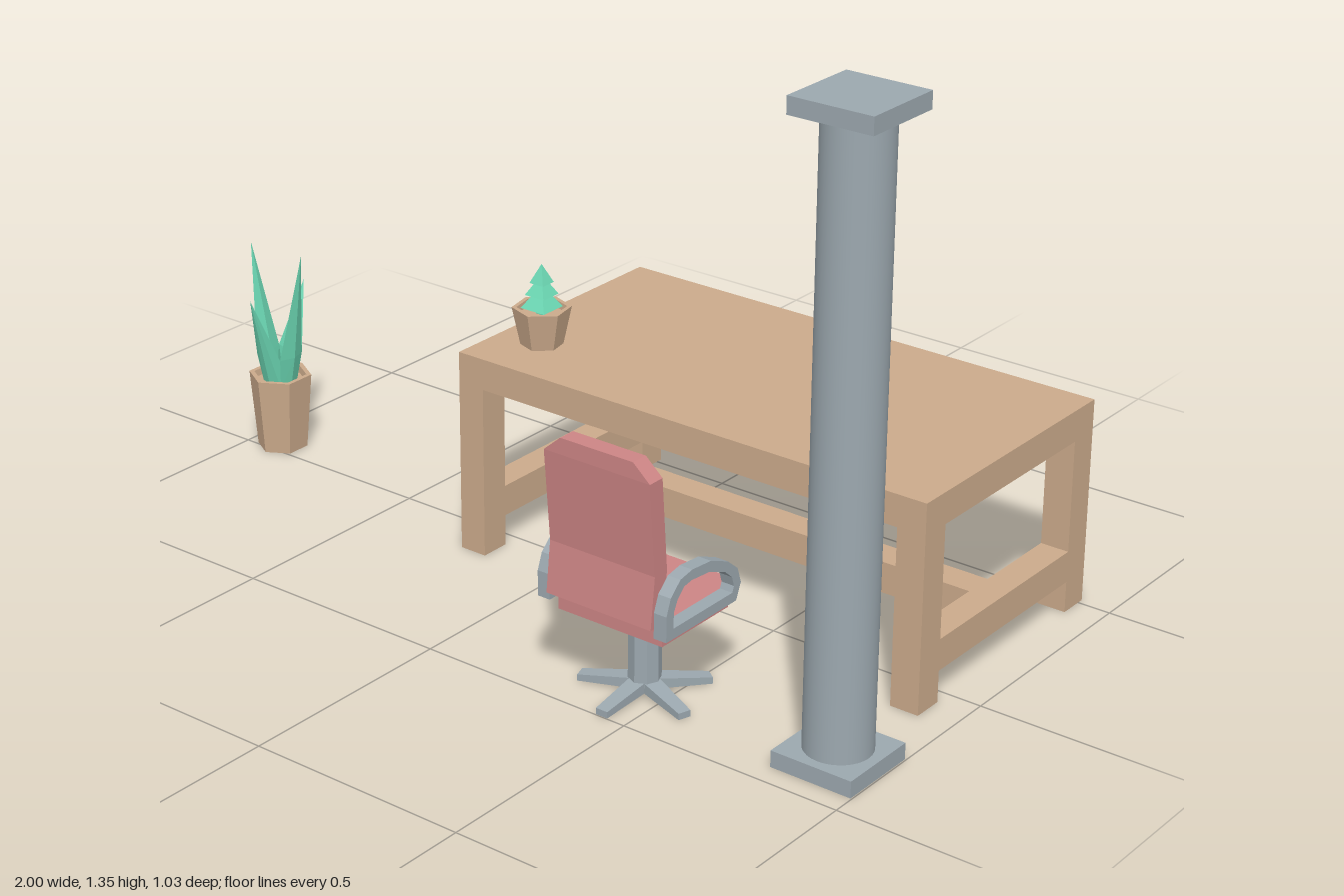
import * as THREE from 'three';
import { ConvexGeometry } from 'three/addons/geometries/ConvexGeometry.js';

const material = (name, color) => Object.assign(new THREE.MeshStandardMaterial({ color }), { name });

// Faceted normals for low-poly parts
function facet(geometry) {
  const g = geometry.index ? geometry.toNonIndexed() : geometry;
  g.computeVertexNormals();
  return g;
}

function add(parent, name, geometry, mat, x = 0, y = 0, z = 0) {
  const mesh = new THREE.Mesh(geometry, mat);
  mesh.name = name;
  mesh.position.set(x, y, z);
  parent.add(mesh);
  return mesh;
}

// Box given by its minimum and maximum on each axis
function slab(parent, name, mat, [x0, x1], [y0, y1], [z0, z1]) {
  return add(parent, name, new THREE.BoxGeometry(x1 - x0, y1 - y0, z1 - z0), mat,
    (x0 + x1) / 2, (y0 + y1) / 2, (z0 + z1) / 2);
}

function group(parent, name, x = 0, y = 0, z = 0) {
  const g = new THREE.Group();
  g.name = name;
  g.position.set(x, y, z);
  parent.add(g);
  return g;
}

const points = (list) => list.map(([x, y]) => new THREE.Vector2(x, y));

// Six-sided open pot with a sunken soil level
function potGeometry(bottom, top, height) {
  const profile = points([[0, 0], [bottom, 0], [top, height], [top * 0.84, height],
    [top * 0.8, height - 0.015], [0, height - 0.015]]);
  return facet(new THREE.LatheGeometry(profile, 6));
}

// Pointed leaf of kite section, leaning outward along +z
function leafGeometry(reach, tipY) {
  const sections = [[0.155, 0.034, 0.026, 0.026, 0.012], [0.23, 0.048, 0.036, 0.036, 0.026]];
  const pts = [new THREE.Vector3(0, tipY, reach)];
  for (const [y, outer, side, half, inner] of sections) {
    pts.push(new THREE.Vector3(0, y, outer), new THREE.Vector3(half, y, side),
      new THREE.Vector3(-half, y, side), new THREE.Vector3(0, y, inner));
  }
  return new ConvexGeometry(pts);
}

// Backrest: box rows shifted to follow the lumbar curve and clipped top corners
function backrestGeometry() {
  const rows = [[0.235, 0.475, 0.51, 0.128], [0.345, 0.46, 0.498, 0.128],
    [0.545, 0.477, 0.516, 0.128], [0.58, 0.477, 0.516, 0.088]];
  const g = new THREE.BoxGeometry(1, 3, 1, 1, 3, 1);
  const p = g.attributes.position;
  for (let i = 0; i < p.count; i++) {
    const [y, front, back, half] = rows[Math.round(p.getY(i) + 1.5)];
    p.setXYZ(i, Math.sign(p.getX(i)) * half, y, p.getZ(i) > 0 ? back : front);
  }
  return facet(g);
}

// Chair foot: tapered bar from the hub outward along +z
function footGeometry() {
  const g = new THREE.BoxGeometry(1, 1, 1);
  const p = g.attributes.position;
  for (let i = 0; i < p.count; i++) {
    const tip = p.getZ(i) > 0;
    const upper = p.getY(i) > 0;
    p.setXYZ(i, Math.sign(p.getX(i)) * (tip ? 0.014 : 0.02),
      upper ? (tip ? 0.014 : 0.034) : (tip ? 0 : 0.01), tip ? 0.138 : 0);
  }
  return facet(g);
}

export function createModel() {
  const model = new THREE.Group();
  model.name = 'officeSet';
  const wood = material('tan', 0xcbaa8b);
  const metal = material('grey', 0x9ca8af);
  const fabric = material('red', 0xcd8585);
  const leafGreen = material('green', 0x6cd8b4);

  // Table
  const table = group(model, 'table');
  slab(table, 'tableTop', wood, [-0.25, 0.925], [0.39, 0.46], [-0.515, 0.11]);
  for (const x of [-0.25, 0.86]) {
    const xs = [x, x + 0.065];
    for (const z of [-0.515, 0.04]) slab(table, 'tableLeg', wood, xs, [0, 0.39], [z, z + 0.07]);
    slab(table, 'sideStretcher', wood, xs, [0.07, 0.14], [-0.445, 0.04]);
  }
  slab(table, 'middleStretcher', wood, [-0.185, 0.86], [0.07, 0.14], [-0.237, -0.168]);

  // Column
  const column = group(model, 'column', 0.905, 0, 0.357);
  const plate = new THREE.BoxGeometry(0.184, 0.036, 0.184);
  add(column, 'columnBase', plate, metal, 0, 0.018, 0);
  add(column, 'columnCap', plate, metal, 0, 1.327, 0);
  add(column, 'columnShaft', new THREE.CylinderGeometry(0.07, 0.07, 1.275, 32), metal, 0, 0.672, 0);

  // Large plant
  const plant = group(model, 'largePlant', -0.922, 0, -0.035);
  add(plant, 'largePot', potGeometry(0.058, 0.073, 0.18), wood);
  for (let i = 0; i < 4; i++) {
    const leaf = add(plant, 'leaf', i % 2 ? leafGeometry(0.078, 0.485) : leafGeometry(0.088, 0.385), leafGreen);
    leaf.rotation.y = i * Math.PI / 2;
  }

  // Small tree on the table
  const tree = group(model, 'smallTree', -0.142, 0.46, -0.035);
  add(tree, 'smallPot', potGeometry(0.046, 0.064, 0.085), wood).rotation.y = 0.2;
  add(tree, 'trunk', new THREE.BoxGeometry(0.018, 0.03, 0.018), leafGreen, 0, 0.08, 0);
  [[0.084, 0.045, 0.05], [0.113, 0.036, 0.045], [0.14, 0.026, 0.042]].forEach(([y, radius, height]) => {
    const cone = facet(new THREE.ConeGeometry(radius, height, 4));
    add(tree, 'treeTier', cone, leafGreen, 0, y + height / 2, 0).rotation.y = Math.PI / 4;
  });

  // Chair, facing the table
  const chair = group(model, 'chair', 0.443, 0, 0);
  add(chair, 'backrest', backrestGeometry(), fabric);
  const seatShape = new THREE.Shape(points([[-0.128, 0.473], [-0.128, 0.26], [-0.088, 0.217],
    [0.088, 0.217], [0.128, 0.26], [0.128, 0.473]]));
  const seat = new THREE.ExtrudeGeometry(seatShape, { depth: 0.04, bevelEnabled: false });
  add(chair, 'seat', seat.rotateX(Math.PI / 2), fabric, 0, 0.225, 0);

  // Looped armrests
  const armShape = new THREE.Shape(points([[0.5, 0.215], [0.5, 0.27], [0.487, 0.305], [0.457, 0.333],
    [0.42, 0.34], [0.36, 0.335], [0.305, 0.312], [0.272, 0.285], [0.26, 0.25], [0.275, 0.215]]));
  armShape.holes.push(new THREE.Path(points([[0.477, 0.237], [0.477, 0.27], [0.465, 0.295], [0.445, 0.314],
    [0.42, 0.318], [0.365, 0.313], [0.313, 0.292], [0.29, 0.272], [0.283, 0.25], [0.288, 0.237]])));
  const arm = new THREE.ExtrudeGeometry(armShape, { depth: 0.03, bevelEnabled: false });
  arm.rotateY(-Math.PI / 2).translate(0.015, 0, 0);
  for (const side of [-1, 1]) add(chair, 'armrest', arm, metal, side * 0.143, 0, 0);

  // Pedestal and five feet
  const post = facet(new THREE.CylinderGeometry(0.034, 0.034, 0.165, 8));
  add(chair, 'pedestal', post, metal, 0, 0.1025, 0.36);
  const foot = footGeometry();
  for (let i = 0; i < 5; i++) {
    add(chair, 'foot', foot, metal, 0, 0, 0.36).rotation.y = i * Math.PI * 0.4;
  }
  return model;
}
